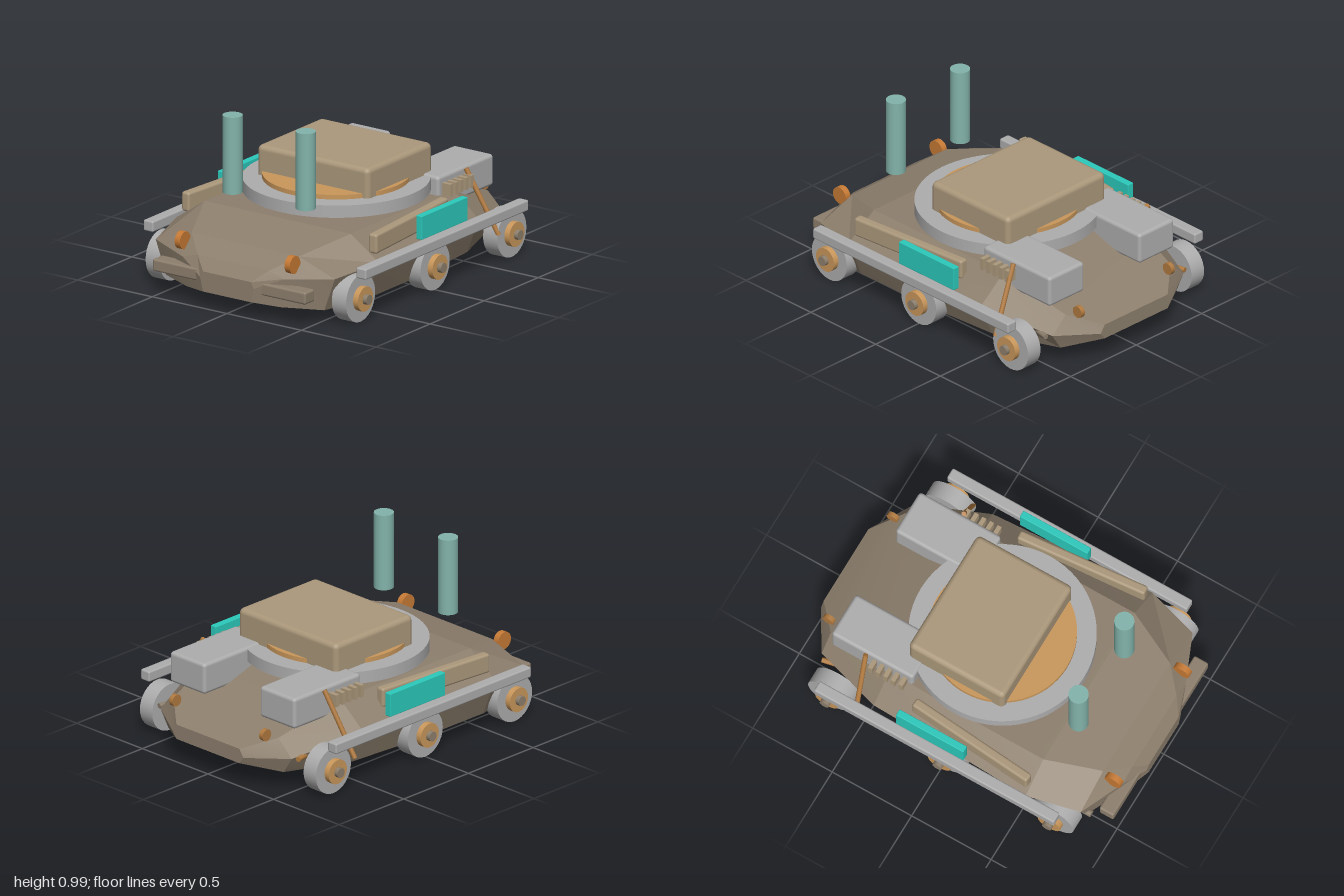
import * as THREE from 'three';
import { RoundedBoxGeometry } from 'three/addons/geometries/RoundedBoxGeometry.js';
import { toCreasedNormals } from 'three/addons/utils/BufferGeometryUtils.js';

const material = (name, color) => Object.assign(new THREE.MeshStandardMaterial({ color }), { name });

// Faceted hull lofted from six-sided sections, back to front
function hullGeometry() {
  // z, bottom half-width, bottom y, side half-width, side y, top half-width, top y
  const sections = [
    [-1.0, 0.24, 0.14, 0.27, 0.18, 0.24, 0.225],
    [-0.86, 0.44, 0.105, 0.5, 0.2, 0.4, 0.295],
    [-0.45, 0.56, 0.08, 0.64, 0.28, 0.47, 0.42],
    [0.0, 0.58, 0.07, 0.66, 0.3, 0.49, 0.432],
    [0.53, 0.59, 0.075, 0.68, 0.3, 0.49, 0.43],
    [0.83, 0.53, 0.08, 0.6, 0.27, 0.36, 0.355],
    [0.94, 0.31, 0.085, 0.34, 0.25, 0.24, 0.28],
    [1.0, 0.16, 0.1, 0.18, 0.18, 0.16, 0.215],
  ];
  const rings = sections.map(([z, bw, by, sw, sy, tw, ty]) => [
    [bw, by, z], [sw, sy, z], [tw, ty, z], [-tw, ty, z], [-sw, sy, z], [-bw, by, z],
  ]);
  const points = [];
  const tri = (a, b, c) => points.push(...a, ...b, ...c);
  for (let i = 0; i < rings.length - 1; i++) {
    for (let j = 0; j < 6; j++) {
      const k = (j + 1) % 6;
      tri(rings[i][j], rings[i][k], rings[i + 1][k]);
      tri(rings[i][j], rings[i + 1][k], rings[i + 1][j]);
    }
  }
  const back = rings[0], front = rings[rings.length - 1];
  for (let j = 1; j < 5; j++) {
    tri(front[0], front[j], front[j + 1]);
    tri(back[0], back[j + 1], back[j]);
  }
  const geometry = new THREE.BufferGeometry();
  geometry.setAttribute('position', new THREE.Float32BufferAttribute(points, 3));
  geometry.computeVertexNormals();
  return toCreasedNormals(geometry, 0.2);
}

export function createModel() {
  const model = new THREE.Group();
  model.name = 'armouredVehicle';
  const hullBrown = material('hullBrown', 0x8d7f6d);
  const tan = material('tan', 0xab987b);
  const copper = material('copper', 0xc9975b);
  const lampOrange = material('lampOrange', 0xc67a35);
  const steel = material('steel', 0xadadae);
  const turquoise = material('turquoise', 0x2bc9bb);
  const sage = material('sage', 0x82b3aa);
  const strutBrown = material('strutBrown', 0xb07a40);

  const add = (name, geometry, mat, x = 0, y = 0, z = 0) => {
    const mesh = new THREE.Mesh(geometry, mat);
    mesh.name = name;
    mesh.position.set(x, y, z);
    model.add(mesh);
    return mesh;
  };
  const box = (w, h, d, r = 0.01) => new RoundedBoxGeometry(w, h, d, 2, r);
  const cylinder = (r, h, n = 32) => new THREE.CylinderGeometry(r, r, h, n);
  const axle = (r, h, n) => cylinder(r, h, n).rotateZ(Math.PI / 2);
  const rod = (name, from, to, radius, mat) => {
    const a = new THREE.Vector3(...from), b = new THREE.Vector3(...to);
    const mesh = add(name, cylinder(radius, a.distanceTo(b), 12), mat);
    mesh.position.copy(a).add(b).multiplyScalar(0.5);
    mesh.quaternion.setFromUnitVectors(new THREE.Vector3(0, 1, 0), b.sub(a).normalize());
  };

  add('hull', hullGeometry(), hullBrown);

  // Turret stack
  add('turretRing', cylinder(0.512, 0.07, 64), steel, 0, 0.485, -0.015);
  add('turretDisc', cylinder(0.405, 0.085, 64), copper, 0, 0.503, -0.015);
  add('turretBox', box(0.75, 0.255, 0.6, 0.03), tan, 0, 0.562, -0.09);

  for (const s of [1, -1]) {
    // Wheels with hubs and axle caps
    for (const z of [0.69, 0, -0.71]) {
      add('wheel', axle(0.135, 0.095), steel, s * 0.624, 0.14, z);
      add('hub', axle(0.07, 0.05), copper, s * 0.68, 0.14, z);
      add('axleCap', axle(0.028, 0.06, 20), hullBrown, s * 0.7, 0.14, z);
    }

    // Side fittings
    add('sideRail', box(0.066, 0.062, 1.51), steel, s * 0.713, 0.3, -0.01);
    add('sidePanel', box(0.04, 0.135, 0.425, 0.004), turquoise, s * 0.665, 0.395, -0.072);
    const skirt = add('skirtBox', box(0.055, 0.112, 0.765, 0.015), tan, s * 0.594, 0.395, 0.14);
    skirt.rotation.y = s * 0.09;

    // Rear engine boxes and cooling slats
    add('engineBox', box(0.268, 0.18, 0.515, 0.02), steel, s * 0.343, 0.44, -0.557);
    for (let i = 0; i < 5; i++) {
      add('slat', new THREE.BoxGeometry(0.06, 0.07, 0.025), tan, s * 0.503, 0.455, -0.345 - i * 0.048);
    }

    // Lamps, bumpers and masts
    add('headlamp', axle(0.05, 0.035, 24), lampOrange, s * 0.368, 0.33, 0.902);
    add('tailLamp', axle(0.034, 0.026, 20), strutBrown, s * 0.343, 0.31, -0.905);
    add('bumper', box(0.315, 0.07, 0.09, 0.012), hullBrown, s * 0.355, 0.18, 0.938);
    add('mast', cylinder(0.055, 0.44), sage, s * 0.245, 0.77, 0.608);

    // Rear struts, turned opposite ways on the two sides
    const mid = -0.567, turn = s * 0.024;
    rod('strut', [s * 0.485, 0.52, mid + turn], [s * 0.67, 0.16, mid - turn], 0.014, strutBrown);
    rod('towPin', [s * 0.5, 0.2, -0.7], [s * 0.53, 0.2, -0.84], 0.015, s > 0 ? hullBrown : strutBrown);
  }

  // Single pipe end at the front
  rod('frontPipe', [-0.535, 0.13, 0.7], [-0.535, 0.13, 0.86], 0.021, hullBrown);
  return model;
}
